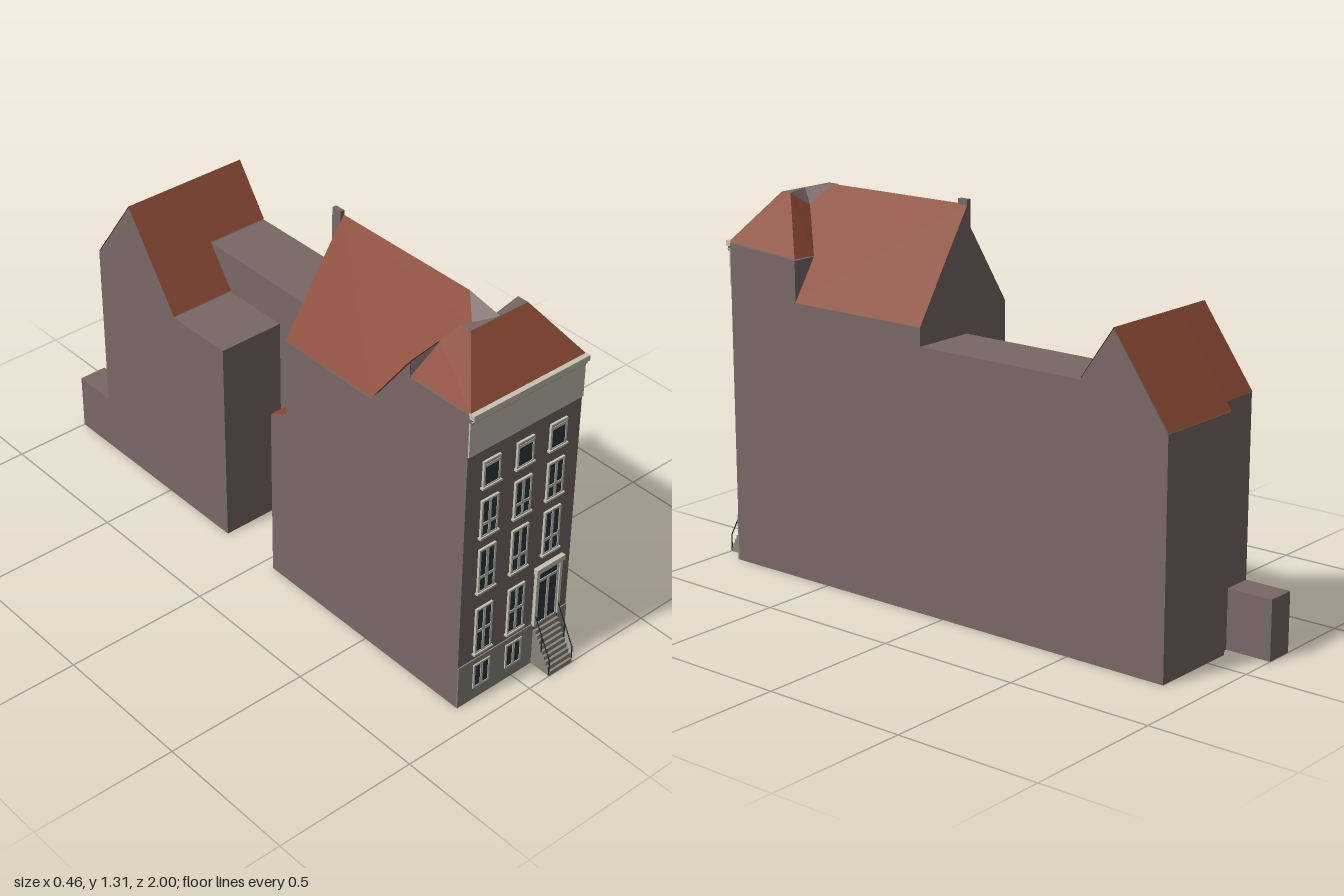
import * as THREE from 'three';

const mat = (name, color, side = THREE.FrontSide) => {
  const m = new THREE.MeshStandardMaterial({ color, side });
  m.name = name;
  return m;
};

export function createModel() {
  const root = new THREE.Group();
  root.name = 'townhouse';
  const brick = mat('mauve brick', 0x786866, THREE.DoubleSide);
  const tile = mat('roof tile', 0x8c4a36, THREE.DoubleSide);
  const cream = mat('cream trim', 0xc6c1b2);
  const stone = mat('plinth stone', 0x89857a);
  const band = mat('cornice shadow band', 0x716c66);
  const glass = mat('dark glass', 0x2d3a42);
  const iron = mat('black iron', 0x24262a);

  const add = (name, geo, material, parent = root) => {
    const mesh = new THREE.Mesh(geo, material);
    mesh.name = name;
    parent.add(mesh);
    return mesh;
  };
  // Box given by its limits on each axis
  const box = (name, m, x0, x1, y0, y1, z0, z1, parent) =>
    add(name, new THREE.BoxGeometry(x1 - x0, y1 - y0, z1 - z0), m, parent)
      .position.set((x0 + x1) / 2, (y0 + y1) / 2, (z0 + z1) / 2);
  // Side profile of [z, y] points, extruded across x
  const prism = (name, m, x0, x1, pts) => {
    const shape = new THREE.Shape(pts.map(([z, y]) => new THREE.Vector2(-z, y)));
    const geo = new THREE.ExtrudeGeometry(shape, { depth: x1 - x0, bevelEnabled: false });
    geo.rotateY(Math.PI / 2).translate(x0, 0, 0);
    return add(name, geo, m);
  };
  // Flat polygon of [x, y, z] corners, fanned from the first
  const face = (name, m, pts) => {
    const pos = [];
    for (let i = 1; i < pts.length - 1; i++) pos.push(...pts[0], ...pts[i], ...pts[i + 1]);
    const geo = new THREE.BufferGeometry();
    geo.setAttribute('position', new THREE.Float32BufferAttribute(pos, 3));
    geo.computeVertexNormals();
    return add(name, geo, m);
  };

  const W = 0.23, F = 0.915, M = 0.005;

  // Front house walls
  prism('frontHouseRightWalls', brick, 0, W,
    [[0.085, 0], [0.085, 0.94], [0.62, 0.94], [0.62, 1.08], [F, 1.1], [F, 0]]);
  prism('frontHouseLeftWalls', brick, -W, 0,
    [[0.12, 0], [0.12, 0.94], [0.51, 0.936], [0.67, 1.15], [0.67, 1.1], [F, 1.1], [F, 0]]);
  face('rearGableRight', brick, [[0, 0.94, 0.085], [0, 1.295, 0.085], [W, 0.94, 0.085]]);
  face('rearGableLeft', brick, [[0, 0.94, 0.12], [-W, 0.94, 0.12], [0, 1.295, 0.12]]);
  box('gableParapet', brick, -0.014, 0.002, 0, 1.31, 0.085, 0.122);

  // Main ridge roof
  face('mainRoofRight', tile, [[0, 1.295, 0.085], [0, 1.295, 0.665], [0.045, 1.225, 0.725],
    [0.14, 1.08, 0.62], [W, 0.942, 0.62], [W, 0.942, 0.085]]);
  face('mainRoofLeft', tile, [[0, 1.295, 0.12], [-W, 0.942, 0.12], [-W, 0.942, 0.51],
    [-0.045, 1.225, 0.725], [0, 1.295, 0.665]]);

  // Hipped roof behind the street front
  face('frontHip', tile, [[-W, 1.105, 0.92], [W, 1.105, 0.92], [0.11, 1.27, 0.79], [-0.115, 1.27, 0.79]]);
  face('rightHip', tile, [[W, 1.105, 0.92], [W, 1.085, 0.62], [0.11, 1.27, 0.75], [0.11, 1.27, 0.79]]);
  face('leftHip', tile, [[-W, 1.105, 0.92], [-0.115, 1.27, 0.79], [-0.115, 1.27, 0.75],
    [-0.155, 1.215, 0.71], [-W, 1.105, 0.67]]);
  face('rearSlopeRight', tile, [[0.11, 1.27, 0.75], [W, 1.085, 0.62], [0.14, 1.082, 0.62], [0.045, 1.225, 0.725]]);
  face('rearSlopeLeft', tile, [[-W, 0.942, 0.51], [-W, 1.157, 0.67], [-0.155, 1.215, 0.71],
    [-0.115, 1.27, 0.75], [-0.045, 1.225, 0.725]]);
  face('leftUpstand', brick, [[-W, 1.155, 0.673], [-W, 1.1, 0.673], [-0.155, 1.215, 0.713]]);
  face('roofFlat', brick, [[0, 1.27, 0.79], [0.11, 1.27, 0.79], [0.11, 1.27, 0.75], [0.045, 1.225, 0.725],
    [0, 1.295, 0.665], [-0.045, 1.225, 0.725], [-0.115, 1.27, 0.75], [-0.115, 1.27, 0.79]]);

  // Low annex against the rear gable
  prism('annex', brick, -W, 0, [[0.045, 0], [0.045, 0.62], [0.12, 0.66], [0.12, 0]]);
  face('annexRoof', tile, [[-W, 0.624, 0.044], [-0.014, 0.624, 0.044], [-0.014, 0.664, 0.12], [-W, 0.664, 0.12]]);

  // Rear house with the linking wing along the right side
  prism('linkWingAndRearHouse', brick, M, W,
    [[-0.86, 0], [-0.86, 0.77], [-0.66, 1.051], [-0.54, 0.88], [0.085, 0.88], [0.085, 0]]);
  const rearLeft = (x0, x1, z, y) => prism('rearHouseLeft', brick, x0, x1,
    [[z, 0], [z, y], [-0.66, 1.051], [-0.44, 0.74], [-0.19, 0.74], [-0.19, 0]]);
  rearLeft(-0.09, M, -0.86, 0.77);
  rearLeft(-W, -0.09, -0.84, 0.798);
  box('rearShed', brick, -W, -0.13, 0, 0.2, -1, -0.84);
  const rearSlope = (x0, x1, z, y) => face('rearHouseRoof', tile,
    [[x0, 1.056, -0.66], [x1, 1.056, -0.66], [x1, y, z], [x0, y, z]]);
  rearSlope(-0.09, W, -0.862, 0.773);
  rearSlope(-W, -0.09, -0.842, 0.8);
  rearSlope(M, W, -0.54, 0.884);
  rearSlope(-W, M, -0.44, 0.744);

  // Street front bands
  box('plinth', stone, -W, W, 0, 0.16, F - 0.002, F + 0.004);
  box('fascia', cream, -W, W, 0.955, 1.075, F - 0.002, F + 0.005);
  box('corniceShadow', band, -W, W, 1.075, 1.09, F - 0.002, F + 0.01);
  box('corniceBed', cream, -W, W, 1.079, 1.083, F, F + 0.013);
  box('cornice', cream, -W, W, 1.09, 1.108, F - 0.002, F + 0.02);

  // Window: a frame with one hole per pane over a glass plate
  const frameWindow = (name, x, w, y0, y1, cols, splits, sill) => {
    const g = new THREE.Group();
    g.name = name;
    root.add(g);
    const rect = (Type, a, b, c, d) => new Type([[a, c], [b, c], [b, d], [a, d]].map(p => new THREE.Vector2(...p)));
    const shape = rect(THREE.Shape, x - w / 2, x + w / 2, y0, y1);
    const edge = 0.007, bar = 0.005;
    const ys = [y0 + edge - bar, ...splits, y1 - edge + bar];
    const inner = w - 2 * edge, pw = (inner - (cols - 1) * 2 * bar) / cols;
    for (let r = 0; r < ys.length - 1; r++)
      for (let c = 0; c < (r === 0 || name !== 'door' ? cols : 1); c++) {
        const a = x - inner / 2 + c * (pw + 2 * bar);
        const width = name === 'door' && r > 0 ? inner : pw;
        shape.holes.push(rect(THREE.Path, a, a + width, ys[r] + bar, ys[r + 1] - bar));
      }
    const geo = new THREE.ExtrudeGeometry(shape, { depth: 0.008, bevelEnabled: false });
    add('frame', geo, cream, g).position.z = F;
    box('glass', glass, x - w / 2 + 0.002, x + w / 2 - 0.002, y0 + 0.002, y1 - 0.002, F, F + 0.006, g);
    if (sill) box('sill', cream, x - w / 2 - 0.005, x + w / 2 + 0.005, y0 - 0.004, y0 + 0.003, F, F + 0.012, g);
  };
  const rows = [
    [0.818, 0.912, 1, [0.896], 3], [0.634, 0.77, 2, [0.683], 3], [0.424, 0.588, 2, [0.482], 3],
    [0.185, 0.36, 2, [0.272], 2], [0.046, 0.14, 2, [], 2],
  ];
  rows.forEach(([y0, y1, cols, splits, count], r) => {
    for (let i = 0; i < count; i++)
      frameWindow('window', -0.135 + 0.135 * i, 0.068, y0, y1, cols, splits, r < 4);
  });

  // Door with its surround
  frameWindow('door', 0.135, 0.09, 0.153, 0.364, 2, [0.326], false);
  for (const x of [0.085, 0.185]) box('doorPilaster', cream, x - 0.005, x + 0.005, 0.155, 0.366, F, F + 0.012);
  box('doorHood', cream, 0.076, 0.196, 0.364, 0.383, F, F + 0.016);

  // Front steps
  const steps = 10, x0 = 0.085, x1 = 0.184, rise = 0.155 / steps, run = (1 - F) / steps;
  for (let i = 0; i < steps; i++)
    box('step', stone, x0, x1, i * rise, (i + 1) * rise, F, 1 - i * run);

  // Railings
  for (const x of [x0, x1]) {
    const rail = new THREE.LineCurve3(new THREE.Vector3(x, 0.06, 0.997), new THREE.Vector3(x, 0.203, 0.922));
    add('handrail', new THREE.TubeGeometry(rail, 1, 0.002, 6), iron);
    for (const t of [0, 0.5, 1]) {
      const p = rail.getPoint(t);
      box('railPost', iron, x - 0.0015, x + 0.0015, p.y - 0.06, p.y, p.z - 0.0015, p.z + 0.0015);
    }
  }
  return root;
}
